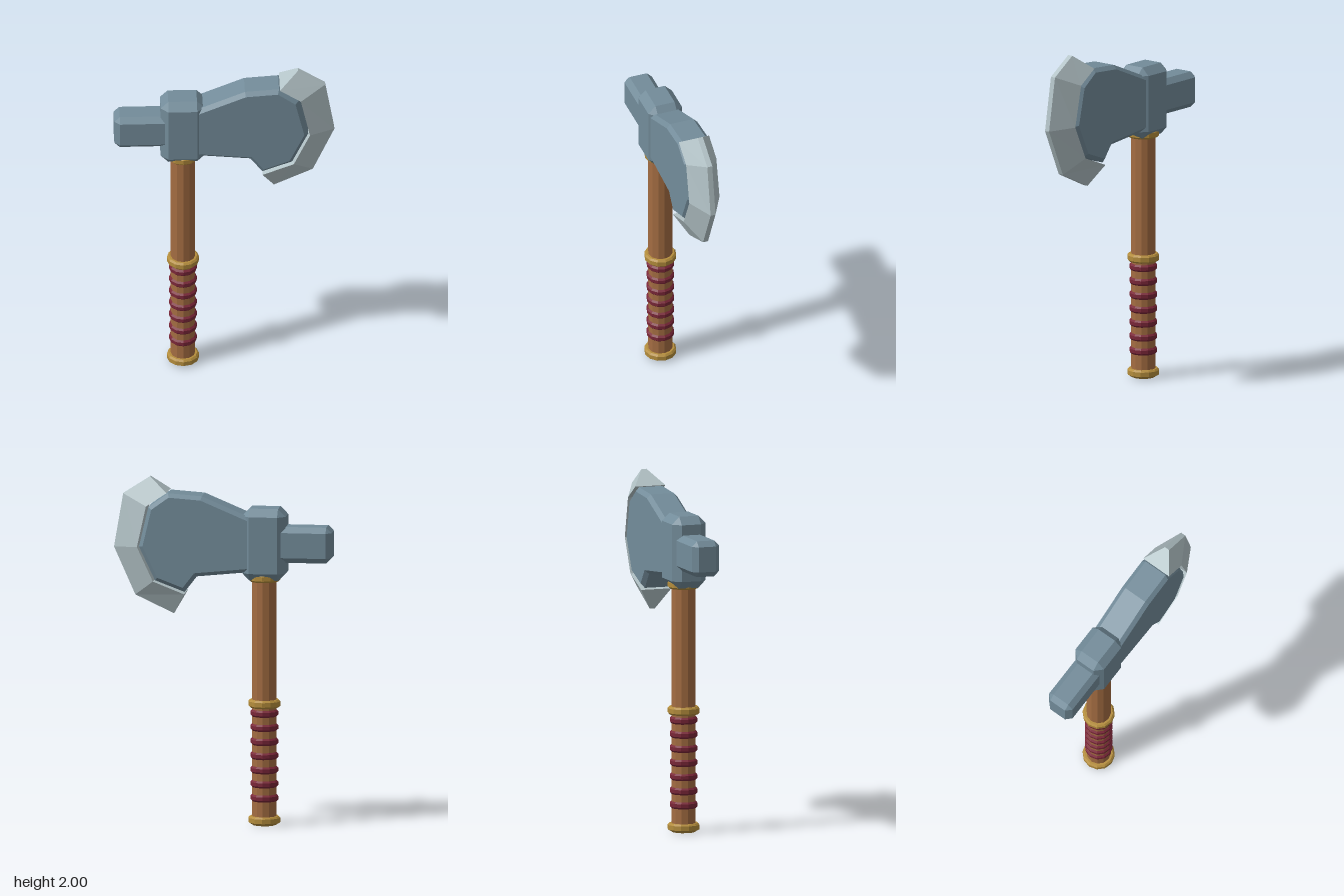
import * as THREE from 'three';
import { ConvexGeometry } from 'three/addons/geometries/ConvexGeometry.js';

const material = (name, color) => {
  const m = new THREE.MeshStandardMaterial({ color });
  m.name = name;
  return m;
};

// Separate the faces so that every facet has its own flat normal
function faceted(geometry) {
  const g = geometry.index ? geometry.toNonIndexed() : geometry;
  g.computeVertexNormals();
  return g;
}

// Box with every edge chamfered by c, given by its x and y limits and half depth
function chamferBox(x0, x1, y0, y1, hz, c) {
  const half = [(x1 - x0) / 2, (y1 - y0) / 2, hz];
  const points = [];
  for (const sx of [-1, 1]) for (const sy of [-1, 1]) for (const sz of [-1, 1]) {
    for (let full = 0; full < 3; full++) {
      const p = [sx, sy, sz].map((s, i) => s * (half[i] - (i === full ? 0 : c)));
      points.push(new THREE.Vector3(...p));
    }
  }
  return new ConvexGeometry(points).translate((x0 + x1) / 2, (y0 + y1) / 2, 0);
}

// Low-poly turned part from [radius, y] pairs, bottom to top
const turned = (profile, sides = 12) =>
  faceted(new THREE.LatheGeometry(profile.map(([r, y]) => new THREE.Vector2(r, y)), sides));

// Solid chamfered ring around the handle
const ring = (radius, height, c) => turned([
  [0, -height / 2], [radius - c, -height / 2], [radius, -height / 2 + c],
  [radius, height / 2 - c], [radius - c, height / 2], [0, height / 2],
]);

// Plate with a chamfered rim, centred on z = 0
function bevelledPlate(outline, hz, size, thickness) {
  const shape = new THREE.Shape(outline.map(([x, y]) => new THREE.Vector2(x, y)));
  const depth = 2 * (hz - thickness);
  const g = new THREE.ExtrudeGeometry(shape, {
    depth, bevelEnabled: true, bevelSegments: 1,
    bevelSize: size, bevelOffset: -size, bevelThickness: thickness,
  });
  return faceted(g.translate(0, 0, -depth / 2));
}

// Crescent wedge: thick along the inner curve, thin along the cutting edge
function crescent(inner, outer, innerZ, outerZ) {
  const positions = [];
  const index = [];
  inner.forEach(([ix, iy], k) => {
    const [ox, oy] = outer[k];
    positions.push(ix, iy, innerZ, ox, oy, outerZ, ox, oy, -outerZ, ix, iy, -innerZ);
    if (k === 0) return;
    const a = (k - 1) * 4, b = k * 4;
    for (let i = 0; i < 4; i++) {
      const j = (i + 1) % 4;
      index.push(a + i, b + i, b + j, a + i, b + j, a + j);
    }
  });
  const e = (inner.length - 1) * 4;
  index.push(0, 1, 2, 0, 2, 3, e, e + 2, e + 1, e, e + 3, e + 2);
  const g = new THREE.BufferGeometry();
  g.setAttribute('position', new THREE.Float32BufferAttribute(positions, 3));
  g.setIndex(index);
  return faceted(g);
}

export function createModel() {
  const steel = material('blue steel', 0x738c9a);
  const silver = material('sharpened silver', 0xb4c4c8);
  const wood = material('wood', 0xa46d42);
  const gold = material('brass', 0xb48d3c);
  const red = material('red leather', 0x7a2638);

  const model = new THREE.Group();
  model.name = 'axe';
  const add = (parent, name, geometry, mat) => {
    const mesh = new THREE.Mesh(geometry, mat);
    mesh.name = name;
    parent.add(mesh);
    return mesh;
  };

  // Handle with brass rings and leather wraps
  const handle = new THREE.Group();
  handle.name = 'handle';
  handle.position.x = -0.236;
  model.add(handle);
  add(handle, 'shaft', turned([[0.07, 0.02], [0.07, 1.45]]), wood);
  add(handle, 'pommel', turned([
    [0, 0], [0.066, 0], [0.078, 0.008], [0.092, 0.016], [0.092, 0.042], [0.082, 0.052], [0, 0.052],
  ]), gold);
  add(handle, 'gripRing', ring(0.092, 0.046, 0.01), gold).position.y = 0.702;
  add(handle, 'collar', ring(0.092, 0.046, 0.01), gold).position.y = 1.43;
  for (let i = 0; i < 7; i++) {
    add(handle, 'gripWrap', ring(0.08, 0.042, 0.011), red).position.y = 0.158 + i * 0.0815;
  }

  // Head: socket, rear hammer and blade
  const head = new THREE.Group();
  head.name = 'head';
  model.add(head);
  add(head, 'socket', chamferBox(-0.366, -0.114, 1.417, 1.833, 0.102, 0.044), steel);
  add(head, 'hammer', chamferBox(-0.63, -0.28, 1.523, 1.73, 0.083, 0.031), steel);
  add(head, 'bladeBody', bevelledPlate([
    [-0.24, 1.477], [-0.115, 1.463], [0.145, 1.437], [0.215, 1.346], [0.385, 1.41], [0.477, 1.603],
    [0.423, 1.832], [0.31, 1.914], [0.115, 1.9], [-0.135, 1.795], [-0.24, 1.75],
  ], 0.093, 0.022, 0.023), steel);
  add(head, 'cuttingEdge', crescent(
    [[0.315, 1.917], [0.434, 1.838], [0.486, 1.602], [0.394, 1.405], [0.215, 1.335]],
    [[0.42, 2.0], [0.575, 1.9], [0.628, 1.592], [0.505, 1.317], [0.283, 1.213]],
    0.092, 0.015), silver);

  return model;
}
